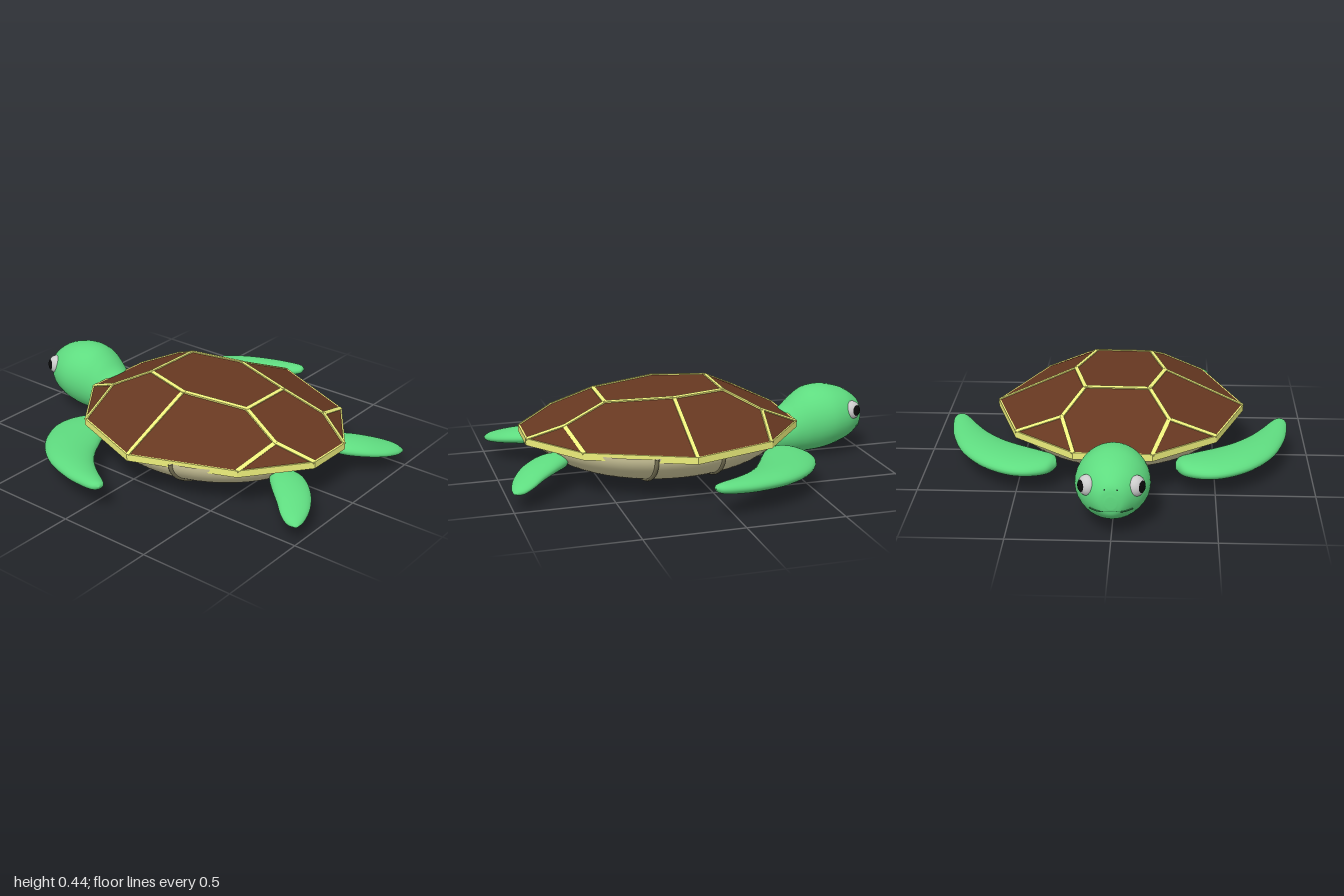
import * as THREE from 'three';

const V = (x, y, z) => new THREE.Vector3(x, y, z);
const paint = (color, extra = {}) => new THREE.MeshStandardMaterial({ color, ...extra });
const GREEN = paint(0x5fdc80);
const DARK_GREEN = paint(0x3a8f52);
const BROWN = paint(0x673821, { side: THREE.DoubleSide });
const YELLOW = paint(0xeef07c);
const CREAM = paint(0xd0c99c);
const GROOVE = paint(0x7d785a);
const WHITE = paint(0xeeeeee);
const BLACK = paint(0x0a0a0a);

function add(parent, name, geometry, material) {
  const mesh = new THREE.Mesh(geometry, material);
  mesh.name = name;
  parent.add(mesh);
  return mesh;
}

// Smooth closed skin through elliptical sections { c: centre, u, v: half axes }
function loft(sections, rings = 56, sides = 32) {
  const [c, u, v] = ['c', 'u', 'v'].map(
    (k) => new THREE.CatmullRomCurve3(sections.map((s) => s[k]), false, 'catmullrom'));
  const pos = [], idx = [];
  for (let i = 0; i <= rings; i++) {
    const t = i / rings, C = c.getPoint(t), U = u.getPoint(t), W = v.getPoint(t);
    for (let j = 0; j < sides; j++) {
      const a = (j / sides) * Math.PI * 2;
      const p = C.clone().addScaledVector(U, Math.cos(a)).addScaledVector(W, Math.sin(a));
      pos.push(p.x, p.y, p.z);
    }
  }
  const first = sections[0].c, last = sections[sections.length - 1].c, n = pos.length / 3;
  pos.push(first.x, first.y, first.z, last.x, last.y, last.z);
  for (let j = 0; j < sides; j++) {
    const k = (j + 1) % sides;
    for (let i = 0; i < rings * sides; i += sides) {
      idx.push(i + j, i + k, i + j + sides, i + k, i + k + sides, i + j + sides);
    }
    idx.push(n, k, j, n + 1, rings * sides + j, rings * sides + k);
  }
  // Turn the skin outward if the sections run the other way
  const at = (i) => V(pos[3 * i], pos[3 * i + 1], pos[3 * i + 2]).sub(first);
  let volume = 0;
  for (let i = 0; i < idx.length; i += 3) {
    volume += at(idx[i]).dot(at(idx[i + 1]).cross(at(idx[i + 2])));
  }
  if (volume < 0) idx.reverse();
  const g = new THREE.BufferGeometry();
  g.setAttribute('position', new THREE.Float32BufferAttribute(pos, 3));
  g.setIndex(idx);
  g.computeVertexNormals();
  return g;
}

// Flipper rows: outer edge x, z, inner edge x, z, height, half thickness
function flipper(rows, side) {
  return loft(rows.map(([ox, oz, ix, iz, y, t]) => ({
    c: V((ox + ix) / 2, y, (side * (oz + iz)) / 2),
    u: V((ox - ix) / 2, 0, (side * (oz - iz)) / 2),
    v: V(0, t, 0),
  })));
}

const FRONT_FLIPPER = [
  [-0.44, 0.30, -0.39, 0.30, 0.122, 0.018], [-0.51, 0.35, -0.34, 0.32, 0.122, 0.038],
  [-0.545, 0.45, -0.29, 0.40, 0.123, 0.047], [-0.525, 0.56, -0.235, 0.50, 0.124, 0.05],
  [-0.44, 0.69, -0.18, 0.59, 0.128, 0.049], [-0.30, 0.80, -0.10, 0.68, 0.135, 0.044],
  [-0.13, 0.865, -0.01, 0.75, 0.142, 0.037], [0, 0.888, 0.065, 0.80, 0.149, 0.03],
  [0.07, 0.89, 0.102, 0.832, 0.154, 0.021], [0.105, 0.87, 0.106, 0.86, 0.157, 0.004],
];
const REAR_FLIPPER = [
  [0.68, 0.26, 0.69, 0.23, 0.157, 0.014], [0.70, 0.295, 0.74, 0.175, 0.157, 0.037],
  [0.76, 0.355, 0.82, 0.175, 0.151, 0.041], [0.83, 0.415, 0.91, 0.245, 0.136, 0.037],
  [0.89, 0.468, 0.97, 0.335, 0.116, 0.03], [0.94, 0.493, 0.997, 0.42, 0.1, 0.022],
  [0.985, 0.49, 0.998, 0.475, 0.092, 0.005],
];

// Head and neck rows: x, bottom, top, half width
const HEAD = [
  [-1.0, 0.165, 0.225, 0.026], [-0.99, 0.13, 0.27, 0.063], [-0.96, 0.1, 0.305, 0.1],
  [-0.9, 0.065, 0.345, 0.148], [-0.82, 0.037, 0.37, 0.177], [-0.75, 0.02, 0.376, 0.18],
  [-0.68, 0.012, 0.363, 0.167], [-0.62, 0.01, 0.325, 0.146], [-0.56, 0.01, 0.272, 0.126],
  [-0.49, 0.013, 0.232, 0.116], [-0.4, 0.03, 0.21, 0.115], [-0.3, 0.08, 0.2, 0.1],
];

// Shell corner points on one side: crown, middle and rim
const SHELL = {
  c1: [-0.16, 0.438, 0.165], c2: [0.12, 0.435, 0.237], c3: [0.46, 0.414, 0.15],
  m1: [-0.34, 0.345, 0.27], m2: [0.68, 0.322, 0.205],
  r1: [-0.555, 0.246, 0.195], r2: [-0.31, 0.246, 0.507], r3: [0.115, 0.246, 0.652],
  r4: [0.628, 0.246, 0.437], r5: [0.858, 0.246, 0.128],
};

function buildShell() {
  const shell = new THREE.Group();
  shell.name = 'shell';
  const p = (k, s) => V(SHELL[k][0], SHELL[k][1], s * SHELL[k][2]);
  const both = (keys) => [
    ...keys.map((k) => p(k, 1)), ...[...keys].reverse().map((k) => p(k, -1))];
  // Each plate is a fan that shares one mean normal
  const pos = [], nor = [];
  const plate = (pts) => {
    const n = V(0, 0, 0), e = (i) => pts[i].clone().sub(pts[0]);
    for (let i = 1; i < pts.length - 1; i++) n.add(e(i).cross(e(i + 1)));
    n.normalize();
    for (let i = 1; i < pts.length - 1; i++) {
      for (const q of [pts[0], pts[i], pts[i + 1]]) {
        pos.push(...q.toArray());
        nor.push(...n.toArray());
      }
    }
  };
  for (const keys of [['c1', 'c2', 'c3'], ['r1', 'm1', 'c1'], ['c3', 'm2', 'r5']]) plate(both(keys));
  const sidePlates = [['c1', 'm1', 'r2', 'r3', 'c2'], ['c2', 'r3', 'r4', 'm2', 'c3'],
    ['m1', 'r1', 'r2'], ['m2', 'r4', 'r5']];
  for (const s of [1, -1]) {
    for (const keys of sidePlates) {
      const pts = keys.map((k) => p(k, s));
      plate(s > 0 ? pts : pts.reverse());
    }
  }
  const dome = new THREE.BufferGeometry();
  dome.setAttribute('position', new THREE.Float32BufferAttribute(pos, 3));
  dome.setAttribute('normal', new THREE.Float32BufferAttribute(nor, 3));
  add(shell, 'shellPlates', dome, BROWN);

  // Flat seams between plates, facing outward from the dome
  const seam = (a, b) => {
    const m = add(shell, 'plateSeam',
      new THREE.BoxGeometry(0.021, 0.014, a.distanceTo(b) + 0.008), YELLOW);
    const mid = a.clone().lerp(b, 0.5), along = b.clone().sub(a).normalize();
    const out = V((mid.x - 0.15) / 0.5, (mid.y - 0.1) / 0.1, mid.z / 0.42);
    const across = out.cross(along).normalize(), up = along.clone().cross(across);
    m.quaternion.setFromRotationMatrix(new THREE.Matrix4().makeBasis(across, up, along));
    m.position.copy(mid).addScaledVector(up, -0.0035);
  };
  const edges = ['c1 c2', 'c2 c3', 'c1 m1', 'c3 m2', 'm1 r1', 'm1 r2', 'c2 r3', 'm2 r4', 'm2 r5'];
  for (const s of [1, -1]) {
    for (const e of edges) seam(...e.split(' ').map((k) => p(k, s)));
  }
  for (const k of ['c1', 'c3']) seam(p(k, 1), p(k, -1));

  // Rim band and underside
  const outline = both(['r1', 'r2', 'r3', 'r4', 'r5']);
  const flat = (f) => outline.map((q) => new THREE.Vector2(0.15 + (q.x - 0.15) * f, q.z * f));
  const rimShape = new THREE.Shape(flat(1.01));
  rimShape.holes.push(new THREE.Path(flat(0.98)));
  const rim = new THREE.ExtrudeGeometry(rimShape, { depth: 0.036, bevelEnabled: false });
  rim.rotateX(Math.PI / 2).translate(0, 0.247, 0);
  add(shell, 'shellRim', rim, YELLOW);
  const under = new THREE.ShapeGeometry(new THREE.Shape(flat(0.99)));
  under.rotateX(Math.PI / 2).translate(0, 0.232, 0);
  add(shell, 'shellUnderside', under, BROWN);
  shell.rotation.y = -0.02;
  return shell;
}

function buildBelly() {
  const belly = new THREE.Group();
  belly.name = 'belly';
  // Point on the bowl from plan coordinates in the unit circle
  const bowl = (x, z) => {
    const r = Math.min(1, Math.hypot(x, z));
    return V(0.14 + 0.66 * x, 0.232 - 0.22 * Math.sqrt(1 - r ** 2.3), 0.6 * z);
  };
  const g = new THREE.SphereGeometry(1, 56, 28, 0, Math.PI * 2, Math.PI / 2, Math.PI / 2);
  const pos = g.attributes.position;
  for (let i = 0; i < pos.count; i++) pos.setXYZ(i, ...bowl(pos.getX(i), pos.getZ(i)).toArray());
  g.computeVertexNormals();
  add(belly, 'bellyPlate', g, CREAM);
  // One lengthwise groove line and two crosswise
  const line = (at) => {
    const pts = [];
    for (let i = 0; i <= 24; i++) pts.push(at(Math.cos((i / 24) * Math.PI)));
    const curve = new THREE.CatmullRomCurve3(pts);
    add(belly, 'bellyGroove', new THREE.TubeGeometry(curve, 60, 0.011, 8), GROOVE);
  };
  line((a) => bowl(a, 0));
  for (const x of [-0.26, 0.26]) line((a) => bowl(x, a * Math.sqrt(1 - x * x)));
  return belly;
}

function buildHead() {
  const head = new THREE.Group();
  head.name = 'head';
  const sections = HEAD.map(([x, lo, hi, w]) => (
    { c: V(x, (lo + hi) / 2, 0), u: V(0, 0, w), v: V(0, (hi - lo) / 2, 0) }));
  add(head, 'headAndNeck', loft(sections, 66, 36), GREEN);
  const smile = new THREE.CatmullRomCurve3([V(-0.945, 0.145, 0.1), V(-0.982, 0.148, 0.058),
    V(-0.995, 0.158, 0), V(-0.982, 0.148, -0.058), V(-0.945, 0.145, -0.1)]);
  add(head, 'mouth', new THREE.TubeGeometry(smile, 32, 0.004, 6), DARK_GREEN);
  for (const s of [1, -1]) {
    // Eye, pupil and nostril
    const out = V(-0.5, 0.1, 0.86 * s).normalize(), at = V(-0.912, 0.247, 0.112 * s);
    const disc = (name, r, depth, shift, mat) => {
      const m = add(head, name, new THREE.SphereGeometry(r, 24, 16).scale(1, 1, depth), mat);
      m.position.copy(at).addScaledVector(out, shift);
      m.quaternion.setFromUnitVectors(V(0, 0, 1), out);
    };
    disc('eye', 0.05, 0.8, 0.004, WHITE);
    disc('pupil', 0.031, 0.5, 0.031, BLACK);
    const nostril = add(head, 'nostril', new THREE.SphereGeometry(0.008, 10, 8), BLACK);
    nostril.position.set(-0.984, 0.258, 0.028 * s);
  }
  return head;
}

export function createModel() {
  const turtle = new THREE.Group();
  turtle.name = 'turtle';
  turtle.add(buildShell(), buildBelly(), buildHead());
  for (const s of [1, -1]) {
    add(turtle, 'frontFlipper', flipper(FRONT_FLIPPER, s), GREEN);
    add(turtle, 'rearFlipper', flipper(REAR_FLIPPER, s), GREEN);
  }
  return turtle;
}
